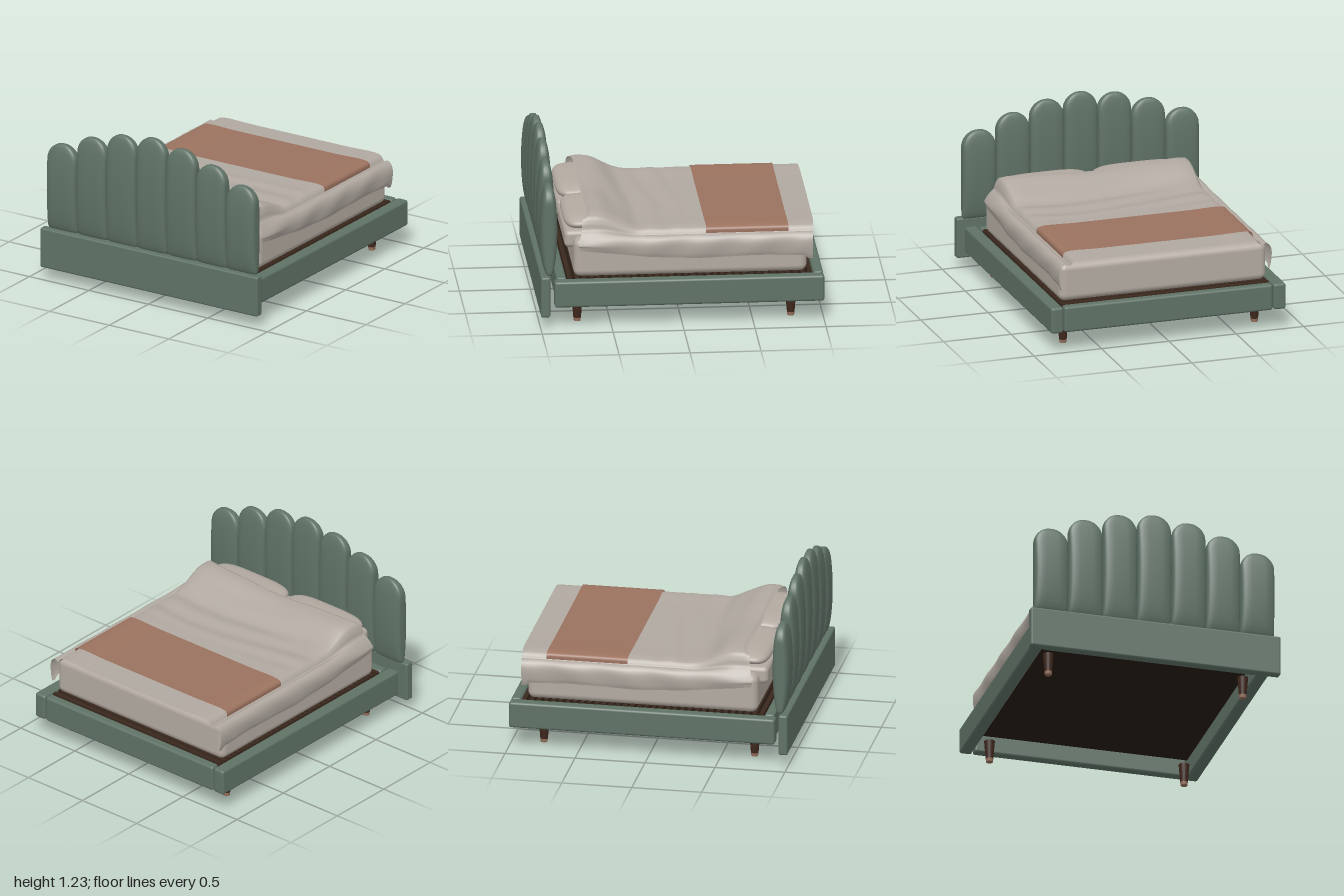
import * as THREE from 'three';
import { RoundedBoxGeometry } from 'three/addons/geometries/RoundedBoxGeometry.js';

const mat = (name, color, side = THREE.FrontSide) => {
  const m = new THREE.MeshStandardMaterial({ color, side });
  m.name = name;
  return m;
};
const step = THREE.MathUtils.smoothstep;

// Smooth surface from a rule p(u, v) -> [x, y, z]; closed joins u = 1 to u = 0
function surface(nu, nv, p, closed = false) {
  const pos = [], idx = [], cols = closed ? nu : nu + 1;
  for (let j = 0; j <= nv; j++)
    for (let i = 0; i < cols; i++) pos.push(...p(i / nu, j / nv));
  for (let j = 0; j < nv; j++)
    for (let i = 0; i < nu; i++) {
      const a = j * cols + i, b = j * cols + (i + 1) % cols;
      idx.push(a, b, a + cols, b, b + cols, a + cols);
    }
  const g = new THREE.BufferGeometry();
  g.setAttribute('position', new THREE.Float32BufferAttribute(pos, 3));
  g.setIndex(idx);
  g.computeVertexNormals();
  return g;
}

// Padded upright channel: round top, pillowed depth, soft rectangular section
function channelGeometry(bottom, top, w, d) {
  const h = top - bottom, power = (t, e) => Math.sign(t) * Math.abs(t) ** e;
  return surface(40, 44, (u, v) => {
    const f = (1 - Math.cos(Math.PI * v)) / 2, y = bottom + h * f;
    const toTop = Math.min(1, (top - y) / w), toBottom = Math.min(1, (y - bottom) / 0.03);
    const wide = w * Math.sqrt(Math.max(0, 1 - (1 - toTop) ** 2)) *
      (0.85 + 0.15 * Math.sqrt(Math.max(0, 1 - (1 - toBottom) ** 2))) * (v === 0 ? 0 : 1);
    const deep = d * Math.max(0, Math.sin(Math.PI * f)) ** 0.33;
    const a = u * Math.PI * 2;
    return [wide * power(Math.cos(a), 0.55), y, -deep * power(Math.sin(a), 0.55)];
  }, true);
}

// Soft pillow: a sphere pushed out toward its corners
function pillowGeometry(w, h, d) {
  const g = new THREE.SphereGeometry(1, 40, 24), p = g.attributes.position;
  for (let i = 0; i < p.count; i++) {
    const x = p.getX(i), z = p.getZ(i);
    p.setXYZ(i, Math.sign(x) * Math.abs(x) ** 0.5 * w, p.getY(i) * h, Math.sign(z) * Math.abs(z) ** 0.5 * d);
  }
  g.computeVertexNormals();
  return g;
}

// Cover draped over the mattress, humped over the pillows, open at both ends
function coverPoint(u, v) {
  const z = 0.67 - 1.615 * v;
  const head = step(z, 0.28, 0.58);
  const crown = 0.653 + 0.105 * head - 0.012 * step(z, 0.63, 0.67);
  const hem = 0.463 + 0.07 * step(z, 0.1, 0.7) + 0.005 * Math.sin(9 * z) - 0.025 * step(-z, 0.87, 0.92);
  const gully = 0.612 + 0.055 * head;
  const half = [[0.772, hem], [0.781, hem + 0.03], [0.785, 0.565], [0.77, 0.605], [0.742, 0.624 + 0.02 * head],
    [0.709 + 0.012 * head, gully], [0.695 + 0.015 * head, (gully + crown) / 2], [0.67 + 0.012 * head, crown],
    [0.4, crown + 0.008 * head]];
  const pts = [...half.map(([x, y]) => new THREE.Vector3(-x, y, 0)), new THREE.Vector3(0, crown - 0.015 * head, 0),
    ...half.slice().reverse().map(([x, y]) => new THREE.Vector3(x, y, 0))];
  const q = new THREE.CatmullRomCurve3(pts, false, 'centripetal').getPoint(u);
  // Folds across the top and ripples down the sides
  const edge = Math.abs(q.x) / 0.78, middle = 1 - step(edge, 0.8, 0.9);
  const fold = step(z, -0.12, 0.05) * (1 - 0.7 * head);
  q.y += middle * fold * 0.006 * Math.sin(32 * z + 2.2 * Math.sin(3 * q.x + 0.6));
  q.x += Math.sign(q.x) * step(edge, 0.93, 1) * 0.003 * Math.sin(17 * z + 20 * q.y);
  const shift = z > 0 ? 0.05 * edge ** 8 * head : 0.02 * edge ** 6 * step(-z, 0.8, 0.95);
  return [q.x, q.y, z + shift - 0.02 * middle * step(z, 0.6, 0.67)];
}

export function createModel() {
  const model = new THREE.Group();
  const green = mat('green upholstery', 0x5f7266);
  const linen = mat('linen', 0xb3aaa1);
  const coverLinen = mat('cover linen', 0xb0a8a0, THREE.DoubleSide);
  const clay = mat('clay throw', 0x9b725f, THREE.DoubleSide);
  const base = mat('dark base', 0x261c14);
  const slatWood = mat('slat wood', 0x3a281d);
  const legWood = mat('leg wood', 0x3f281d);
  const capMetal = mat('leg cap', 0x96705c);

  const add = (name, geometry, material, x = 0, y = 0, z = 0) => {
    const m = new THREE.Mesh(geometry, material);
    m.name = name;
    m.position.set(x, y, z);
    model.add(m);
    return m;
  };
  // Rounded box given by its limits on each axis
  const block = (name, material, [x0, x1], [y0, y1], [z0, z1], r) =>
    add(name, new RoundedBoxGeometry(x1 - x0, y1 - y0, z1 - z0, 4, r), material,
      (x0 + x1) / 2, (y0 + y1) / 2, (z0 + z1) / 2);

  // Headboard
  block('headboardPanel', green, [-0.913, 0.913], [0.09, 0.385], [0.935, 1], 0.014);
  const tops = [1.23, 1.2, 1.13, 1.03];
  for (let i = -3; i <= 3; i++)
    add('headboardChannel', channelGeometry(0.38, tops[Math.abs(i)], 0.123, 0.061), green, i * 0.251, 0, 0.938);

  // Frame rails
  const railY = [0.145, 0.335];
  block('rightRail', green, [-0.87, -0.78], railY, [-1, 0.9], 0.018);
  block('leftRail', green, [0.78, 0.87], railY, [-1, 0.9], 0.018);
  block('footRail', green, [-0.772, 0.772], railY, [-1, -0.93], 0.018);
  block('headRail', green, [-0.772, 0.772], railY, [0.81, 0.88], 0.018);

  // Base and slats
  add('platform', new THREE.BoxGeometry(1.55, 0.03, 1.73), base, 0, 0.285, -0.06);
  for (let i = 0; i < 34; i++)
    add('slat', new THREE.BoxGeometry(1.54, 0.035, 0.03), slatWood, 0, 0.316, -0.905 + i * 0.0513);

  // Tapered legs with metal caps
  for (const x of [-0.71, 0.71])
    for (const z of [-0.775, 0.73]) {
      add('leg', new THREE.CylinderGeometry(0.038, 0.027, 0.135, 24), legWood, x, 0.0925, z);
      add('legCap', new THREE.CylinderGeometry(0.027, 0.024, 0.025, 24), capMetal, x, 0.0125, z);
    }

  // Mattress and pillows
  block('mattress', linen, [-0.768, 0.768], [0.333, 0.61], [-0.885, 0.757], 0.05);
  for (const s of [-1, 1]) {
    block('lowerPillow', linen, [s * 0.345 - 0.325, s * 0.345 + 0.325], [0.52, 0.645], [0.5, 0.815], 0.035);
    const pillow = add('upperPillow', pillowGeometry(0.33, 0.052, 0.16), linen, s * 0.342, 0.69, 0.65);
    pillow.rotation.x = 0.06;
  }

  // Bedding
  add('cover', surface(90, 110, coverPoint), coverLinen);
  const throwHalf = [[0.704, 0.612], [0.701, 0.645], [0.682, 0.66], [0.4, 0.661]];
  const throwCurve = new THREE.CatmullRomCurve3(
    [...throwHalf.map(([x, y]) => new THREE.Vector3(-x, y, 0)),
      ...throwHalf.slice().reverse().map(([x, y]) => new THREE.Vector3(x, y, 0))], false, 'centripetal');
  add('throwBlanket', surface(60, 30, (u, v) => {
    const q = throwCurve.getPoint(u);
    return [q.x, q.y, -0.18 - 0.58 * v];
  }), clay);

  return model;
}
